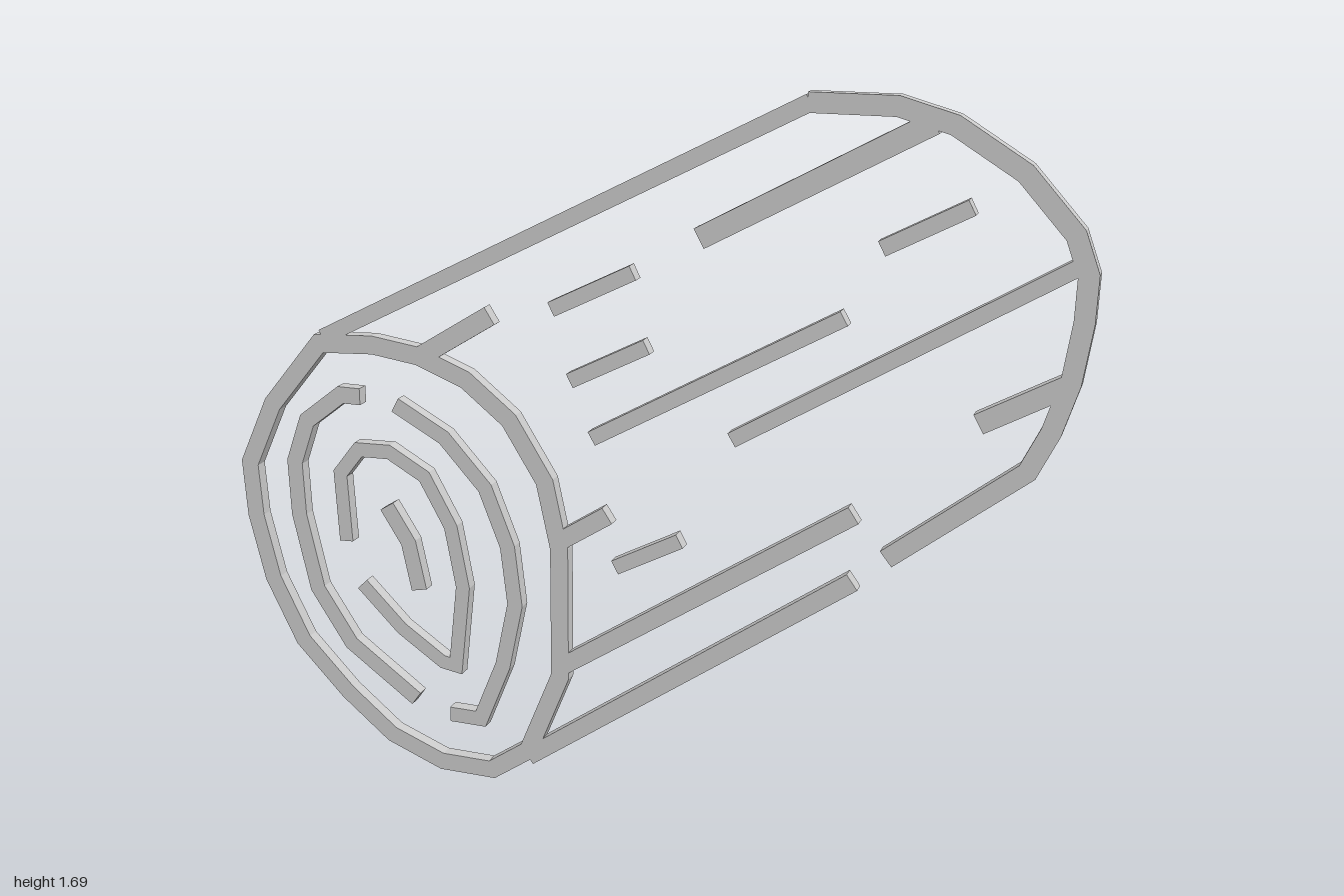
import * as THREE from 'three';

// Line art is laid out on a sketch grid (y down): 187 grid units per model unit
const UNIT = 187, CX = 238.3, BASE = 381.8, DEPTH = 0.031;
const toModel = ([x, y]) => new THREE.Vector2((x - CX) / UNIT, (BASE - y) / UNIT);

// Offsets a path sideways by d, with mitred corners
function offsetPath(pts, d, closed) {
  const n = pts.length;
  const normal = (a, b) => {
    const t = b.clone().sub(a).normalize();
    return new THREE.Vector2(-t.y, t.x);
  };
  return pts.map((p, i) => {
    const prev = closed || i > 0 ? normal(pts[(i + n - 1) % n], p) : null;
    const next = closed || i < n - 1 ? normal(p, pts[(i + 1) % n]) : null;
    const a = prev || next, b = next || prev;
    const m = a.clone().add(b).normalize();
    return p.clone().addScaledVector(m, d / Math.max(m.dot(a), 0.5));
  });
}

export function createModel() {
  const group = new THREE.Group();
  group.name = 'log';
  const material = new THREE.MeshStandardMaterial({ color: 0xcccccc, flatShading: true });

  // One flat bar that follows a path; lean shifts its ends in z
  function stroke(name, path, width, closed = false, lean = 0) {
    const pts = path.map(toModel), half = width / UNIT / 2;
    const a = offsetPath(pts, half, closed), b = offsetPath(pts, -half, closed);
    let shape;
    if (closed) {
      const aOutside = Math.abs(THREE.ShapeUtils.area(a)) > Math.abs(THREE.ShapeUtils.area(b));
      shape = new THREE.Shape(aOutside ? a : b);
      shape.holes.push(new THREE.Path(aOutside ? b : a));
    } else {
      shape = new THREE.Shape([...a, ...b.reverse()]);
    }
    const geo = new THREE.ExtrudeGeometry(shape, { depth: DEPTH, bevelEnabled: false });
    geo.translate(0, 0, -DEPTH / 2);
    if (lean) {
      const pos = geo.attributes.position;
      const x0 = pts[0].x, x1 = pts[pts.length - 1].x;
      for (let i = 0; i < pos.count; i++) {
        const t = (pos.getX(i) - x0) / (x1 - x0);
        pos.setZ(i, pos.getZ(i) + lean * (1 - 2 * t));
      }
      geo.computeVertexNormals();
    }
    const mesh = new THREE.Mesh(geo, material);
    mesh.name = name;
    group.add(mesh);
  }

  // Cut end of the log
  stroke('cutEndRim', [
    [94, 184], [69, 214], [55.5, 243], [57, 268], [64, 298], [78, 327], [100, 350],
    [122, 368], [147, 377.6], [172, 377.6], [190, 365], [206, 326], [206.3, 266],
    [200, 236], [184, 210], [164, 194], [142, 185.5], [120, 182.5],
  ], 8.2, true);

  // Growth rings
  stroke('outerGrowthRingLeft', [
    [113, 206.5], [103.5, 206.5], [86, 220], [78.7, 240], [79.5, 265], [87, 300], [103, 325], [135, 348],
  ], 7.5);
  stroke('outerGrowthRingRight', [
    [152, 353], [167, 353], [178.5, 325], [185, 295], [182, 268], [172, 242], [153, 221], [130, 208.5],
  ], 7);
  stroke('innerGrowthRing', [
    [103, 275], [101.5, 243], [111, 231], [126, 230.5], [143, 240], [155, 262],
    [160, 290], [155.5, 328.5], [149, 327.5], [129, 314], [110, 295],
  ], 6.5);
  stroke('core', [[124, 256], [134, 272], [138.5, 294]], 7.5);

  // Outer edges of the trunk and its far end
  stroke('topEdge', [[96, 181], [312, 70.4]], 7);
  stroke('farEnd', [
    [311, 70.4], [346, 70.4], [368, 76.5], [395, 93], [415, 115], [420.7, 130],
    [420.3, 148], [417, 172], [411, 192], [403, 209], [349, 252],
  ], 8);
  stroke('bottomEdge', [[190, 368], [335.5, 264]], 8);

  // Bark grain: start, end, width, lean
  const grain = [
    [[268, 126], [360, 76], 9],
    [[342, 125], [376, 107], 6.5],
    [[283, 208.5], [417, 127], 6.5],
    [[383, 191.5], [416, 173], 8.5],
    [[204, 160], [240, 142], 6.5],
    [[212, 190], [246, 172.5], 6.5],
    [[222, 214], [328, 154], 6.5, 0.005],
    [[143, 185.5], [176, 165], 8.5],
    [[207, 262], [228.5, 248], 8],
    [[232, 271], [261, 255.5], 6.5],
    [[207, 321], [335, 235], 8],
  ];
  grain.forEach(([a, b, w, lean], i) => stroke(`barkGrain${i + 1}`, [a, b], w, false, lean));

  return group;
}
